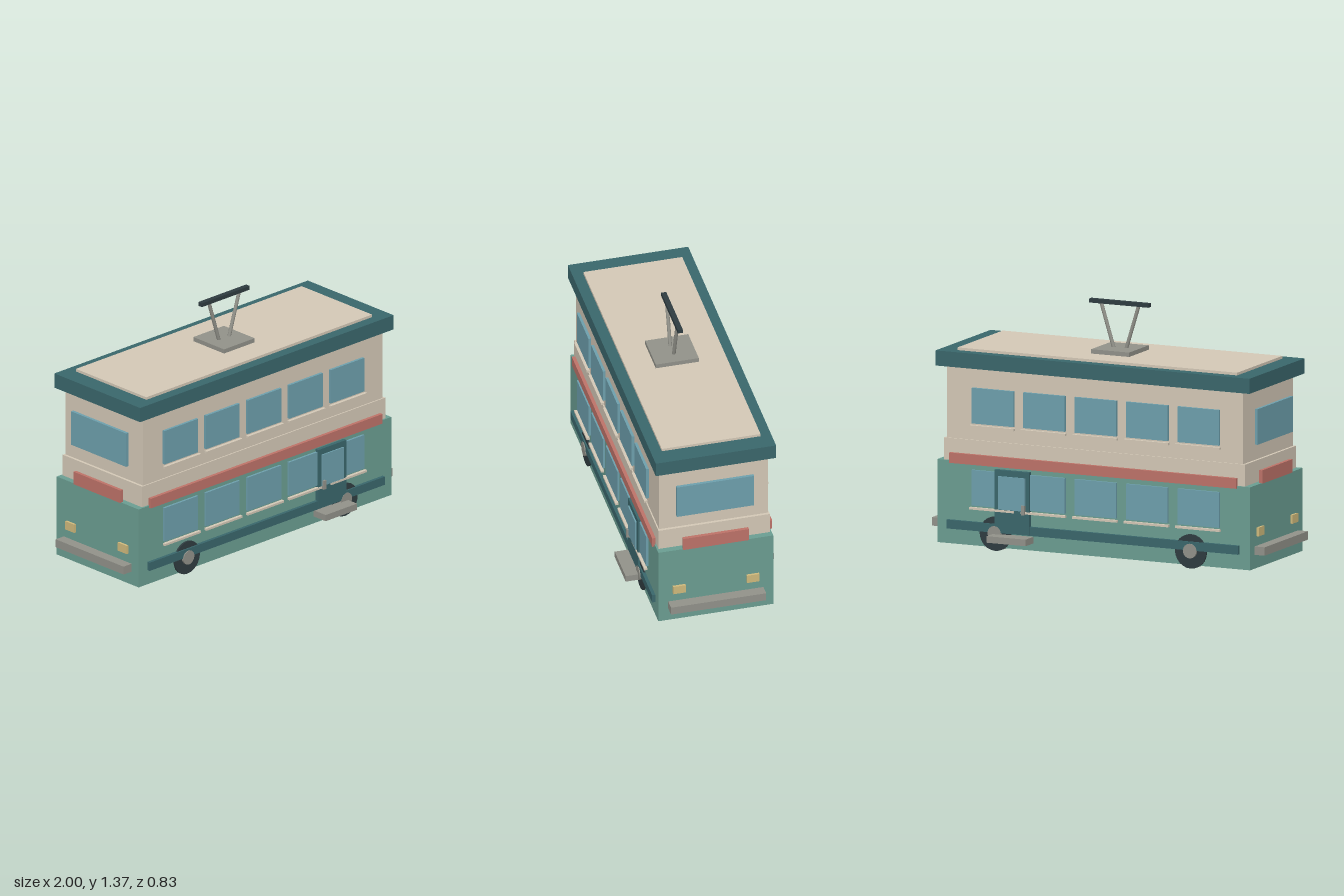
import * as THREE from 'three';

const mat = (color) => new THREE.MeshStandardMaterial({ color });

export function createModel() {
  const tram = new THREE.Group();
  tram.name = 'doubleDeckTram';

  const green = mat(0x6b9e92), teal = mat(0x3a676c), cream = mat(0xd4c9b7);
  const glass = mat(0x6ea0ad), red = mat(0xbe7369), lamp = mat(0xd0ba7c);
  const grey = mat(0x92928a), dark = mat(0x2f3c40);

  // Box given by its limits on each axis
  function box(name, material, [x0, x1], [y0, y1], [z0, z1]) {
    const mesh = new THREE.Mesh(new THREE.BoxGeometry(x1 - x0, y1 - y0, z1 - z0), material);
    mesh.name = name;
    mesh.position.set((x0 + x1) / 2, (y0 + y1) / 2, (z0 + z1) / 2);
    tram.add(mesh);
    return mesh;
  }
  // Limits mirrored to the other side when s is -1
  const side = (s, a, b) => (s > 0 ? [a, b] : [-b, -a]);

  // Cylinder whose axis runs along z
  function disc(name, material, r, x, y, [z0, z1]) {
    const geometry = new THREE.CylinderGeometry(r, r, z1 - z0, 24).rotateX(Math.PI / 2);
    const mesh = new THREE.Mesh(geometry, material);
    mesh.name = name;
    mesh.position.set(x, y, (z0 + z1) / 2);
    tram.add(mesh);
  }

  // Decks and roof
  box('lowerDeck', green, [-0.94, 0.94], [0.02, 0.475], [-0.32, 0.32]);
  box('waistBand', cream, [-0.905, 0.905], [0.475, 0.595], [-0.31, 0.31]);
  box('upperDeck', cream, [-0.89, 0.89], [0.595, 0.99], [-0.303, 0.303]);
  box('roof', teal, [-0.943, 0.943], [0.99, 1.073], [-0.335, 0.335]);
  box('roofPanel', cream, [-0.84, 0.84], [1.073, 1.088], [-0.275, 0.275]);

  // Long sides
  for (const s of [1, -1]) {
    for (let i = 0; i < 5; i++) {
      const x = -0.634 + i * 0.309;
      for (const [deck, y] of [['upper', 0.69], ['lower', 0.24]]) {
        box(deck + 'Window', glass, [x - 0.125, x + 0.125], [y, y + 0.195], side(s, 0.318, 0.333));
        box(deck + 'Sill', cream, [x - 0.134, x + 0.134], [y - 0.02, y - 0.008], side(s, 0.328, 0.346));
      }
    }
    box('sideBand', red, [-0.862, 0.862], [0.463, 0.519], side(s, 0.315, 0.334));
    box('skirtRail', teal, [-0.875, 0.875], [0.103, 0.151], side(s, 0.315, 0.338));

    // Door with pane, handle and step
    box('door', teal, [0.377, 0.585], [0.106, 0.45], side(s, 0.315, 0.342));
    box('doorPane', glass, [0.4, 0.56], [0.235, 0.417], side(s, 0.335, 0.35));
    box('doorHandle', grey, [0.4, 0.418], [0.217, 0.268], side(s, 0.34, 0.361));
    box('step', grey, [0.363, 0.597], [0.06, 0.096], side(s, 0.315, 0.413));

    // Wheels
    for (const x of [-0.587, 0.587]) {
      disc('wheel', dark, 0.094, x, 0.096, side(s, 0.276, 0.33));
      disc('hub', grey, 0.04, x, 0.1, side(s, 0.32, 0.343));
    }
  }

  // Ends
  for (const s of [1, -1]) {
    box('endWindow', glass, side(s, 0.916, 0.933), [0.69, 0.885], [-0.215, 0.215]);
    box('endBand', red, side(s, 0.927, 0.946), [0.473, 0.546], [-0.183, 0.183]);
    box('bumper', grey, side(s, 0.935, 1), [0.096, 0.142], [-0.265, 0.265]);
    for (const t of [1, -1]) {
      box('headlight', lamp, side(s, 0.935, 0.953), [0.194, 0.242], side(t, 0.17, 0.24));
    }
  }

  // Current collector
  box('collectorBase', grey, [-0.114, 0.114], [1.088, 1.112], [-0.12, 0.12]);
  for (const s of [1, -1]) {
    const foot = new THREE.Vector3(s * 0.037, 1.105, 0);
    const head = new THREE.Vector3(s * 0.113, 1.35, 0);
    const arm = new THREE.Mesh(
      new THREE.CylinderGeometry(0.01, 0.01, foot.distanceTo(head), 12), grey);
    arm.name = 'collectorArm';
    arm.position.copy(foot).lerp(head, 0.5);
    arm.quaternion.setFromUnitVectors(new THREE.Vector3(0, 1, 0), head.sub(foot).normalize());
    tram.add(arm);
  }
  box('collectorBar', dark, [-0.178, 0.178], [1.345, 1.367], [-0.014, 0.014]);

  return tram;
}
